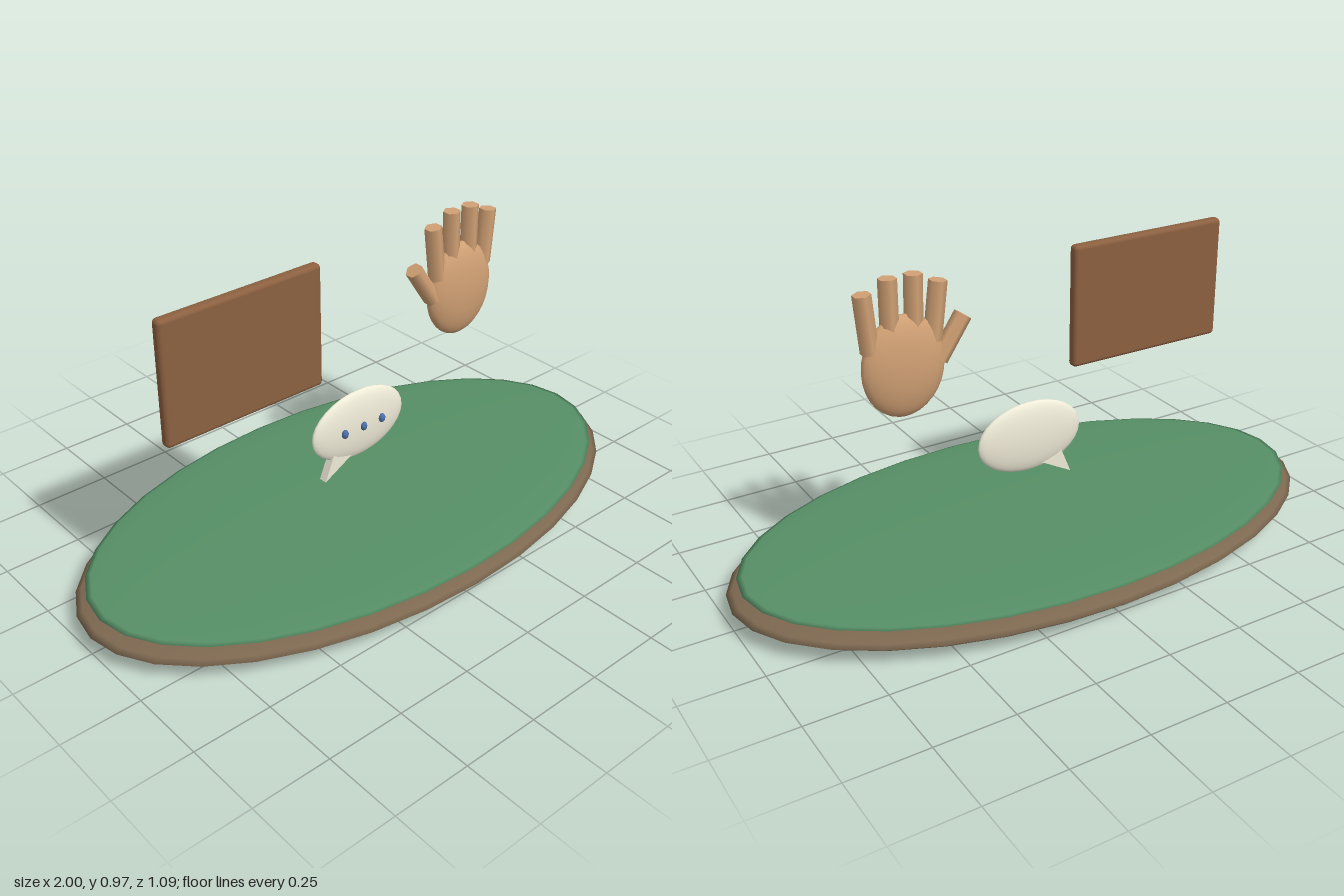
import * as THREE from 'three';
import { RoundedBoxGeometry } from 'three/addons/geometries/RoundedBoxGeometry.js';

const material = (color) => new THREE.MeshStandardMaterial({ color });

export function createModel() {
  const model = new THREE.Group();
  const wood = material(0x7d6850);
  const felt = material(0x568f66);
  const board = material(0x8b6040);
  const skin = material(0xd0a074);
  const cream = material(0xefebd8);
  const blue = material(0x4a6fa5);

  const add = (parent, name, geometry, mat, x = 0, y = 0, z = 0) => {
    const mesh = new THREE.Mesh(geometry, mat);
    mesh.name = name;
    mesh.position.set(x, y, z);
    parent.add(mesh);
    return mesh;
  };
  const ellipsoid = (rx, ry, rz, w = 32, h = 16) =>
    new THREE.SphereGeometry(1, w, h).scale(rx, ry, rz);

  // Oval table: a thick wooden lens with a thin felt lens on top
  const table = new THREE.Group();
  table.name = 'table';
  add(table, 'tableRim', ellipsoid(1, 0.057, 0.545), wood, 0, 0.059, 0);
  add(table, 'tableFelt', ellipsoid(0.965, 0.017, 0.525), felt, 0, 0.105, 0);
  model.add(table);

  // Floating board
  add(model, 'board', new RoundedBoxGeometry(0.555, 0.395, 0.037, 3, 0.014), board, -0.428, 0.768, 0);

  // Speech bubble with a flat pointed tail and three dots
  const bubble = new THREE.Group();
  bubble.name = 'speechBubble';
  add(bubble, 'bubbleBody', ellipsoid(0.185, 0.117, 0.028), cream, 0, 0.37, 0);
  const tail = new THREE.Shape([[-0.145, 0.214], [-0.035, 0.273], [-0.105, 0.31]]
    .map(([x, y]) => new THREE.Vector2(x, y)));
  add(bubble, 'bubbleTail', new THREE.ExtrudeGeometry(tail, { depth: 0.028, bevelEnabled: false }),
    cream, 0, 0, -0.014);
  for (const x of [-0.076, 0, 0.076]) {
    add(bubble, 'bubbleDot', ellipsoid(0.012, 0.015, 0.011, 12, 8), blue, x, 0.37, 0.028);
  }
  model.add(bubble);

  // Open hand: oval palm and six-sided fingers, each given as base and tip
  const hand = new THREE.Group();
  hand.name = 'hand';
  add(hand, 'palm', ellipsoid(0.132, 0.158, 0.048, 24, 16), skin, 0.425, 0.704, 0);
  const fingers = [
    ['thumb', 0.31, 0.70, 0.227, 0.823],
    ['indexFinger', 0.328, 0.765, 0.305, 0.943],
    ['middleFinger', 0.387, 0.80, 0.383, 0.976],
    ['ringFinger', 0.463, 0.80, 0.463, 0.976],
    ['littleFinger', 0.527, 0.765, 0.543, 0.943],
  ];
  for (const [name, x0, y0, x1, y1] of fingers) {
    const length = Math.hypot(x1 - x0, y1 - y0);
    const finger = add(hand, name, new THREE.CylinderGeometry(0.028, 0.028, length, 6),
      skin, (x0 + x1) / 2, (y0 + y1) / 2, 0);
    finger.rotation.z = Math.atan2(x0 - x1, y1 - y0);
  }
  model.add(hand);

  return model;
}
